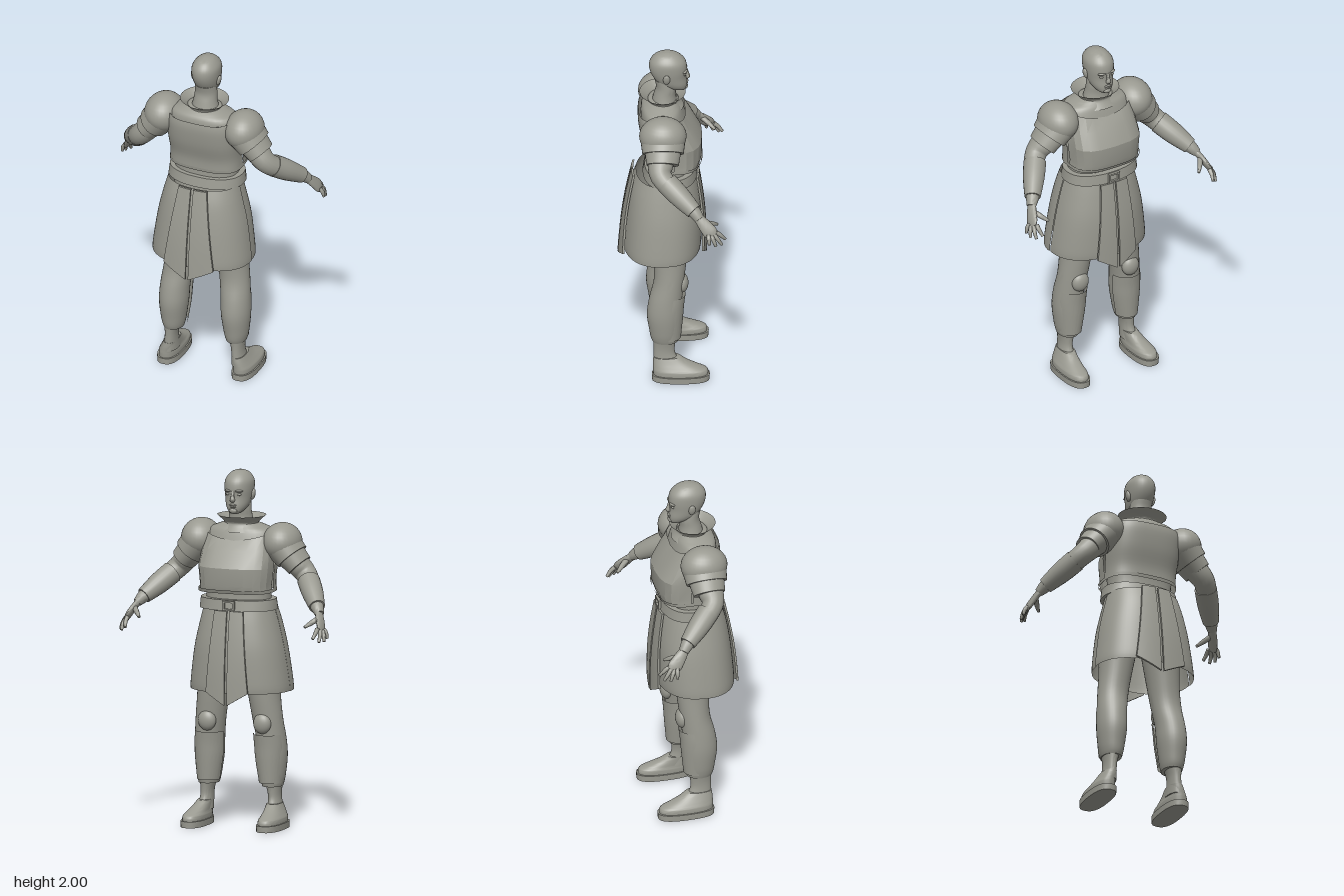
import * as THREE from 'three';
import { toCreasedNormals } from 'three/addons/utils/BufferGeometryUtils.js';

const { lerp } = THREE.MathUtils;
const grey = new THREE.MeshStandardMaterial({ color: 0x9a9a91, side: THREE.DoubleSide });
grey.name = 'stone grey';

// Catmull-Rom interpolation between rows of numbers, n steps per span
function smooth(rows, n) {
  const out = [];
  const last = rows.length - 1;
  for (let i = 0; i < last; i++) {
    const [a, b, c, d] = [i - 1, i, i + 1, i + 2].map(k => rows[Math.min(last, Math.max(0, k))]);
    for (let j = 0; j < n; j++) {
      const t = j / n;
      out.push(b.map((v, k) => v + 0.5 * t * (c[k] - a[k] +
        t * (2 * a[k] - 5 * v + 4 * c[k] - d[k] + t * (3 * (v - c[k]) + d[k] - a[k])))));
    }
  }
  out.push(rows[last]);
  return out;
}

// Surface through a list of rings of points
function skin(rings, caps, crease) {
  const pos = [], n = rings[0].length;
  const tri = (...p) => p.forEach(v => pos.push(v.x, v.y, v.z));
  for (let r = 0; r < rings.length - 1; r++) for (let i = 0; i < n - 1; i++) {
    const [a, b, c, d] = [rings[r][i], rings[r + 1][i], rings[r][i + 1], rings[r + 1][i + 1]];
    tri(a, b, c);
    tri(c, b, d);
  }
  if (caps) [rings[0], rings[rings.length - 1]].forEach((ring, top) => {
    const mid = new THREE.Vector3();
    for (let i = 0; i < n - 1; i++) mid.addScaledVector(ring[i], 1 / (n - 1));
    for (let i = 0; i < n - 1; i++) top ? tri(mid, ring[i + 1], ring[i]) : tri(mid, ring[i], ring[i + 1]);
  });
  const geo = new THREE.BufferGeometry();
  geo.setAttribute('position', new THREE.Float32BufferAttribute(pos, 3));
  return toCreasedNormals(geo, crease);
}

// Horizontal sections, bottom to top: [y, centre x, half width, front z, back z]
function loft(rows, { e = 2, seg = 32, n = 4, a0 = 0, a1 = Math.PI * 2, caps = true, dip = 0, crease = 0.7 } = {}) {
  const pow = v => Math.sign(v) * Math.abs(v) ** (2 / e);
  return skin(smooth(rows, n).map(([y, cx, rx, zf, zb], k, all) =>
    Array.from({ length: seg + 1 }, (_, i) => {
      const a = a0 + (a1 - a0) * i / seg, c = Math.cos(a), s = Math.sin(a);
      const drop = k === all.length - 1 ? dip * (1 - Math.abs(c)) : 0;
      return new THREE.Vector3(cx + rx * pow(c), y - drop, (zf + zb) / 2 + (zb - zf) / 2 * pow(s));
    })), caps, crease);
}

// Rounded limb along a path: [x, y, z, radius, sideways stretch]
function limb(rows, { n = 4, seg = 20, caps = true, crease = 0.8 } = {}) {
  const path = smooth(rows, n), P = path.map(r => new THREE.Vector3(r[0], r[1], r[2]));
  return skin(path.map((r, k) => {
    const T = P[Math.min(k + 1, P.length - 1)].clone().sub(P[Math.max(k - 1, 0)]).normalize();
    const N = new THREE.Vector3(0, 0, 1).addScaledVector(T, -T.z).normalize();
    const B = T.clone().cross(N);
    return Array.from({ length: seg + 1 }, (_, i) => {
      const a = Math.PI * 2 * i / seg;
      return P[k].clone().addScaledVector(N, Math.cos(a) * r[3] * r[4]).addScaledVector(B, -Math.sin(a) * r[3]);
    });
  }), caps, crease);
}

// Hanging skirt panel beside the centre line, with a pointed lower edge
function flap(s, top, z0, z1, w0, w1) {
  const g = new THREE.BoxGeometry(1, 1, 0.012, 8, 8, 1), p = g.attributes.position;
  const back = Math.sign(z0);
  for (let i = 0; i < p.count; i++) {
    const u = p.getX(i) + 0.5, v = p.getY(i) + 0.5, t = s > 0 ? u : 1 - u;
    const x = lerp(0.008, lerp(w1, w0, v), t);
    const bulge = 0.012 * Math.sin(Math.PI * v);
    p.setXYZ(i, s * x, lerp(0.7 + 0.07 * t, top, v),
      lerp(z1, z0, v) + back * (bulge - 1.1 * x * x) + p.getZ(i));
  }
  return toCreasedNormals(g, 0.6);
}

export function createModel() {
  const model = new THREE.Group();
  model.name = 'armouredFigure';
  const add = (name, geo, parent = model) => {
    const m = new THREE.Mesh(geo, grey);
    m.name = name;
    parent.add(m);
    return m;
  };
  const ball = (name, parent, at, size, seg = 24) => {
    const m = add(name, new THREE.SphereGeometry(1, seg, 16), parent);
    m.position.set(...at);
    m.scale.set(...size);
    return m;
  };

  // Head and neck
  const head = new THREE.Group();
  head.name = 'head';
  model.add(head);
  add('skull', loft([[1.762, 0, 0.022, -0.082, -0.04], [1.775, 0, 0.042, -0.09, 0.01], [1.805, 0, 0.062, -0.093, 0.065],
    [1.85, 0, 0.073, -0.088, 0.1], [1.9, 0, 0.079, -0.092, 0.118], [1.945, 0, 0.076, -0.083, 0.114],
    [1.98, 0, 0.052, -0.05, 0.086], [1.995, 0, 0.026, -0.015, 0.05], [2, 0, 0.003, 0.012, 0.02]], { e: 2.1, crease: 1.2 }), head);
  add('neck', loft([[1.66, 0, 0.085, -0.04, 0.11], [1.73, 0, 0.068, -0.03, 0.092], [1.78, 0, 0.063, -0.035, 0.08],
    [1.83, 0, 0.06, -0.03, 0.09]]), head);
  add('nose', limb([[0, 1.89, -0.086, 0.008, 1], [0, 1.86, -0.094, 0.01, 1], [0, 1.842, -0.096, 0.015, 0.9],
    [0, 1.832, -0.09, 0.011, 0.7]], { seg: 12 }), head);
  ball('upperLip', head, [0, 1.812, -0.091], [0.022, 0.006, 0.009], 12);
  ball('lowerLip', head, [0, 1.802, -0.09], [0.019, 0.006, 0.009], 12);
  ball('chin', head, [0, 1.78, -0.084], [0.024, 0.016, 0.014], 12);
  for (const s of [-1, 1]) {
    ball('ear', head, [s * 0.077, 1.862, 0.022], [0.012, 0.032, 0.02], 16).rotation.z = -s * 0.2;
    ball('brow', head, [s * 0.033, 1.891, -0.081], [0.024, 0.007, 0.012], 12).rotation.y = -s * 0.3;
    ball('eye', head, [s * 0.033, 1.872, -0.078], [0.014, 0.007, 0.008], 12);
  }

  // Torso, collar and cuirass
  add('collar', loft([[1.655, 0, 0.125, -0.075, 0.15], [1.695, 0, 0.098, -0.045, 0.125], [1.715, 0, 0.108, -0.055, 0.14],
    [1.742, 0, 0.138, -0.085, 0.172]], { caps: false }));
  add('shoulderYoke', loft([[1.5, 0, 0.2, -0.11, 0.15], [1.6, 0, 0.205, -0.08, 0.165], [1.66, 0, 0.19, -0.06, 0.16],
    [1.685, 0, 0.14, -0.045, 0.14], [1.7, 0, 0.1, -0.035, 0.115]], { e: 2.3 }));
  add('waist', loft([[1.18, 0, 0.19, -0.12, 0.13], [1.3, 0, 0.185, -0.11, 0.12], [1.42, 0, 0.19, -0.12, 0.13]], { e: 2.4 }));
  const half = { e: 2.9, n: 1, caps: false, crease: 0.35 };
  add('breastplate', loft([[1.33, 0, 0.208, -0.165, 0.135], [1.365, 0, 0.204, -0.175, 0.14], [1.465, 0, 0.215, -0.176, 0.15],
    [1.56, 0, 0.207, -0.125, 0.16], [1.65, 0, 0.19, -0.082, 0.16]], { ...half, seg: 10, a0: -Math.PI, a1: 0, dip: 0.04 }));
  add('backplate', loft([[1.33, 0, 0.21, -0.15, 0.135], [1.4, 0, 0.208, -0.15, 0.14], [1.5, 0, 0.212, -0.14, 0.168],
    [1.6, 0, 0.205, -0.1, 0.182], [1.655, 0, 0.19, -0.07, 0.176]], { ...half, n: 4, seg: 24, a0: 0, a1: Math.PI, dip: 0.022 }));
  add('cuirassRim', loft([[1.325, 0, 0.213, -0.17, 0.14], [1.345, 0, 0.212, -0.178, 0.143]], { e: 2.9, n: 1, caps: false }));
  add('belt', loft([[1.225, 0, 0.223, -0.15, 0.155], [1.285, 0, 0.216, -0.143, 0.145]], { e: 2.3, n: 1 }));

  // Buckle frame with open centre
  const frame = new THREE.Shape([[-0.035, -0.027], [0.035, -0.027], [0.035, 0.027], [-0.035, 0.027]].map(p => new THREE.Vector2(...p)));
  frame.holes.push(new THREE.Path([[-0.024, -0.017], [-0.024, 0.017], [0.024, 0.017], [0.024, -0.017]].map(p => new THREE.Vector2(...p))));
  add('buckle', new THREE.ExtrudeGeometry(frame, { depth: 0.015, bevelEnabled: false })).position.set(0, 1.255, -0.161);

  // Skirt in front and back halves, overlapping at the sides
  const skirt = [[0.765, 0, 0.287, -0.168, 0.262], [0.82, 0, 0.284, -0.173, 0.262], [1, 0, 0.259, -0.173, 0.245],
    [1.14, 0, 0.228, -0.155, 0.222], [1.235, 0, 0.203, -0.135, 0.19]];
  const cloth = { e: 2.35, caps: false };
  add('skirtFront', loft(skirt, { ...cloth, a0: -Math.PI, a1: 0.02 }));
  add('skirtBack', loft(skirt.map(([y, cx, rx, f, b]) => [y, cx, rx + 0.004, f, b]), { ...cloth, a0: 0.02, a1: Math.PI + 0.02 }));

  for (const s of [-1, 1]) {
    const side = new THREE.Group();
    side.name = s > 0 ? 'leftSide' : 'rightSide';
    model.add(side);
    const arm = (rows, o) => limb(rows.map(([x, ...r]) => [s * x, ...r]), o);
    const leg = (rows, o) => loft(rows.map(([y, x, ...r]) => [y, s * x, ...r]), o);

    add('backFlap', flap(s, 1.24, 0.212, 0.287, 0.085, 0.15), side);
    add('frontFlap', flap(s, 1.225, -0.156, -0.197, 0.085, 0.125), side);

    // Shoulder guard: dome and two overlapping bands
    ball('shoulderDome', side, [s * 0.242, 1.6, 0.045], [0.11, 0.11, 0.132], 32);
    add('upperShoulderBand', arm([[0.25, 1.58, 0.045, 0.1, 1.25], [0.302, 1.52, 0.045, 0.092, 1.25]], { n: 1, seg: 32 }), side);
    add('lowerShoulderBand', arm([[0.285, 1.54, 0.045, 0.083, 1.24], [0.345, 1.473, 0.048, 0.072, 1.25]], { n: 1, seg: 32 }), side);

    // Arm and forearm guard
    add('arm', arm([[0.22, 1.6, 0.05, 0.07, 1], [0.325, 1.485, 0.058, 0.066, 1.1], [0.385, 1.42, 0.055, 0.06, 1],
      [0.45, 1.35, -0.03, 0.054, 1], [0.515, 1.28, -0.12, 0.038, 1], [0.545, 1.242, -0.155, 0.025, 1.1]]), side);
    add('forearmGuard', arm([[0.408, 1.395, 0.025, 0.063, 1], [0.46, 1.34, -0.045, 0.06, 1], [0.518, 1.278, -0.124, 0.045, 1]]), side);

    // Hand
    add('palm', arm([[0.538, 1.25, -0.147, 0.019, 1.4], [0.56, 1.212, -0.182, 0.017, 2.1], [0.576, 1.178, -0.212, 0.015, 2.7],
      [0.584, 1.158, -0.228, 0.01, 3]]), side);
    const fingers = [[0.568, 1.172, -0.247, 0.56, 1.122, -0.297], [0.58, 1.162, -0.235, 0.59, 1.103, -0.278],
      [0.588, 1.16, -0.22, 0.608, 1.103, -0.245], [0.59, 1.166, -0.203, 0.613, 1.115, -0.208]];
    for (const [x, y, z, X, Y, Z] of fingers)
      add('finger', arm([[x, y, z, 0.0125, 1], [(x + X) / 2 + 0.004, (y + Y) / 2 + 0.004, (z + Z) / 2, 0.0115, 1],
        [X, Y, Z, 0.008, 1]], { seg: 10 }), side);
    add('thumb', arm([[0.552, 1.222, -0.18, 0.016, 1], [0.522, 1.2, -0.22, 0.014, 1], [0.494, 1.178, -0.254, 0.008, 1]], { seg: 10 }), side);

    // Leg, boot and greave
    add('leg', leg([[0.23, 0.19, 0.056, -0.04, 0.103], [0.255, 0.19, 0.063, -0.045, 0.112], [0.3, 0.19, 0.071, -0.05, 0.12],
      [0.4, 0.188, 0.082, -0.06, 0.133], [0.5, 0.183, 0.083, -0.063, 0.121], [0.62, 0.168, 0.086, -0.075, 0.094],
      [0.76, 0.15, 0.092, -0.09, 0.1], [0.95, 0.13, 0.11, -0.1, 0.12]]), side);
    add('shinGuard', leg([[0.25, 0.185, 0.066, -0.056, 0.1], [0.38, 0.18, 0.082, -0.068, 0.11], [0.46, 0.178, 0.086, -0.074, 0.11],
      [0.525, 0.174, 0.084, -0.082, 0.1]], { a0: -Math.PI * 0.97, a1: -Math.PI * 0.03, caps: false }), side);
    ball('kneeGuard', side, [s * 0.165, 0.59, -0.062], [0.052, 0.058, 0.036]);
    add('ankle', leg([[0.08, 0.208, 0.042, -0.06, 0.098], [0.15, 0.203, 0.035, -0.025, 0.096], [0.2, 0.2, 0.037, -0.022, 0.096],
      [0.26, 0.195, 0.05, -0.03, 0.1]]), side);
    add('shoe', leg([[0.03, 0.226, 0.06, -0.207, 0.098], [0.06, 0.225, 0.06, -0.203, 0.1], [0.078, 0.222, 0.053, -0.165, 0.1],
      [0.105, 0.214, 0.045, -0.1, 0.1], [0.135, 0.206, 0.038, -0.05, 0.097]], { e: 2.4 }), side);
    add('sole', leg([[0, 0.226, 0.066, -0.214, 0.105], [0.036, 0.226, 0.067, -0.216, 0.106]], { e: 2.6, n: 1 }), side);
  }
  return model;
}
